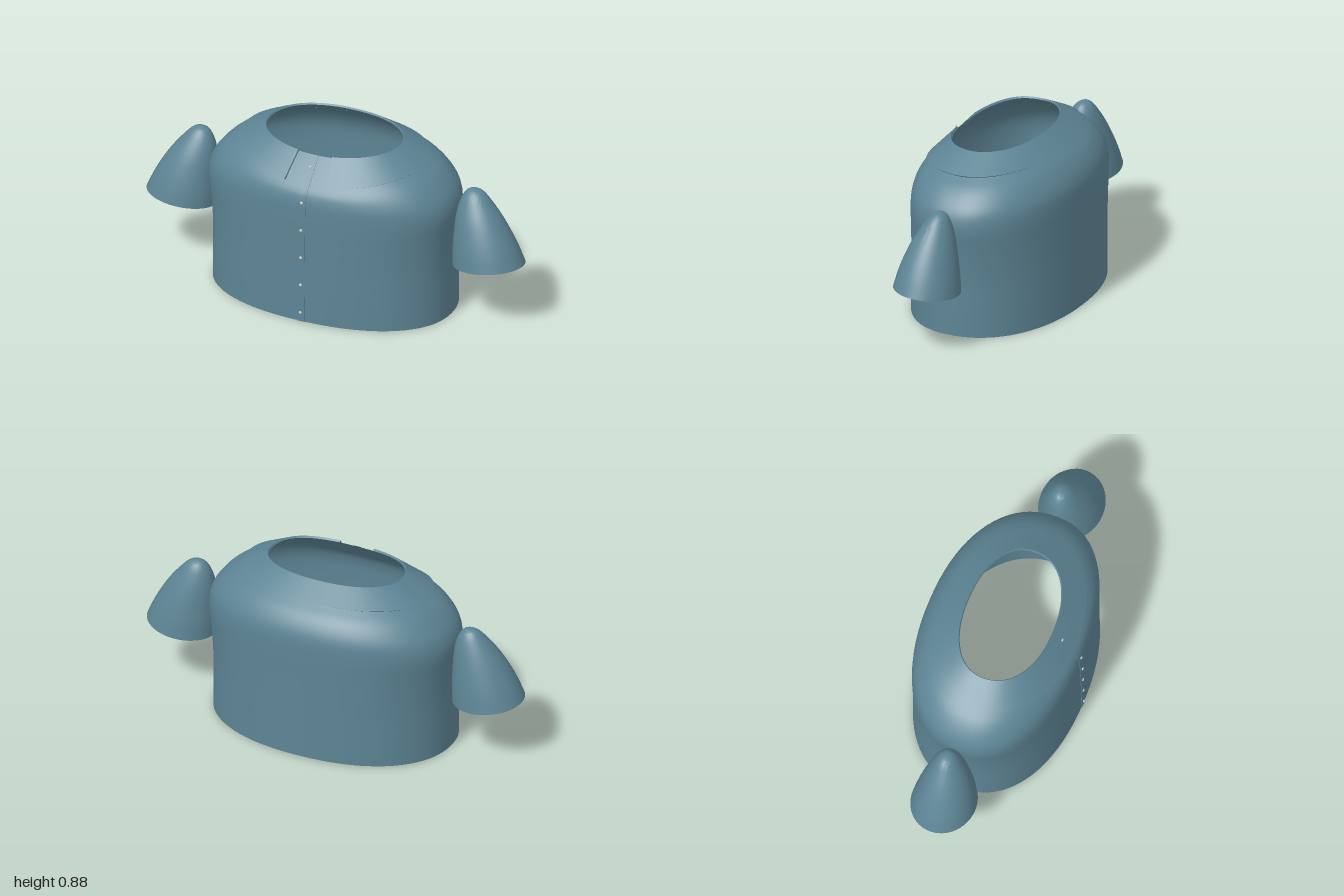
import * as THREE from 'three';
import { toCreasedNormals } from 'three/addons/utils/BufferGeometryUtils.js';

const SQUARE = 2.2; // superellipse exponent of the torso outline
const MID_Z = 0.015;
const cloth = new THREE.MeshStandardMaterial({ color: 0x5d8494, side: THREE.DoubleSide });
const grey = new THREE.MeshStandardMaterial({ color: 0xcccccc });

// Torso rings: [front y, side y, back y, half width, front z, back z]
const BODY = [
  [0, 0, 0, 0.62, 0.397, -0.405],
  [0.15, 0.15, 0.15, 0.62, 0.396, -0.405],
  [0.3, 0.3, 0.3, 0.62, 0.394, -0.405],
  [0.45, 0.45, 0.45, 0.631, 0.391, -0.405],
  [0.57, 0.57, 0.58, 0.643, 0.388, -0.405],
  [0.63, 0.635, 0.65, 0.628, 0.384, -0.4],
  [0.675, 0.69, 0.7, 0.592, 0.372, -0.383],
  [0.7, 0.74, 0.755, 0.54, 0.357, -0.345],
  [0.716, 0.778, 0.8, 0.477, 0.343, -0.289],
  [0.775, 0.818, 0.838, 0.41, 0.29, -0.24],
  [0.83, 0.853, 0.868, 0.345, 0.236, -0.195],
];
const COLLAR_EDGE = [0.72, 0.786, 0.806, 0.487, 0.352, -0.298];
const COLLAR_RIM = [0.839, 0.861, 0.876, 0.35, 0.243, -0.2];

function ringPoint([yF, yS, yB, rx, zF, zB], angle) {
  const bend = (v) => Math.sign(v) * Math.abs(v) ** (2 / SQUARE);
  const c = bend(Math.cos(angle));
  const s = bend(Math.sin(angle));
  return s > 0
    ? new THREE.Vector3(rx * c, yS + (yF - yS) * s ** 3, MID_Z + (zF - MID_Z) * s)
    : new THREE.Vector3(rx * c, yS - (yB - yS) * s, MID_Z + (MID_Z - zB) * s);
}

// Angle on the front half at which a ring reaches the given x
const angleAtX = (ring, x) => Math.acos(Math.sign(x) * (Math.abs(x) / ring[3]) ** (SQUARE / 2));

// Smooth surface through columns of points
function surface(name, columns, crease = 0.9) {
  const rows = columns[0].length;
  const index = [];
  for (let i = 0; i < columns.length - 1; i++) {
    for (let j = 0; j < rows - 1; j++) {
      const a = i * rows + j;
      const b = a + rows;
      index.push(a, a + 1, b, b, a + 1, b + 1);
    }
  }
  const geometry = new THREE.BufferGeometry().setFromPoints(columns.flat());
  geometry.setIndex(index);
  const mesh = new THREE.Mesh(toCreasedNormals(geometry, crease), cloth);
  mesh.name = name;
  return mesh;
}

const spline = (points, n) => new THREE.CatmullRomCurve3(points).getPoints(n);
const steps = (n, f) => Array.from({ length: n + 1 }, (_, i) => f(i / n, i));

// Open torso, hem to neckline
function makeBody() {
  return surface('body', steps(80, (t) =>
    spline(BODY.map((ring) => ringPoint(ring, t * Math.PI * 2)), 36)));
}

// Folded collar with a gap at the front
function makeCollar() {
  const under = BODY[8];
  const neck = BODY[10];
  const section = [[under, 0.11], [COLLAR_EDGE, 0.113], [COLLAR_RIM, 0.09], [neck, 0.09]];
  const closedEnd = [[under, 0.11], [under, 0.11], [neck, 0.09], [neck, 0.09]];
  const column = (rings, t) => rings.map(([ring, gap]) => {
    const start = angleAtX(ring, -gap);
    const end = Math.PI * 2 + angleAtX(ring, gap);
    return ringPoint(ring, start + (end - start) * t);
  });
  return surface('collar', [
    column(closedEnd, 0),
    ...steps(80, (t) => column(section, t)),
    column(closedEnd, 1),
  ], 0.5);
}

// Thin overlapping strip down the front
function makePlacket() {
  const lift = [0, 0.003, 0.003, 0];
  const columns = [0.02, 0.02, -0.02, -0.02].map((x, i) =>
    spline(BODY.map((ring) => {
      const p = ringPoint(ring, angleAtX(ring, x));
      p.z += lift[i];
      return p;
    }), 36));
  return surface('placket', columns, 0.5);
}

// Sleeve rings: [centre y, inner x, outer x, half depth, centre z, tilt in x, tilt in z]
const SLEEVE = [
  [0.323, 0.64, 1.0, 0.16, 0.007, 0.02, 0.011],
  [0.4, 0.638, 0.967, 0.146, 0.005, 0.018, 0.01],
  [0.48, 0.641, 0.925, 0.126, 0.002, 0.016, 0.008],
  [0.56, 0.646, 0.875, 0.1, -0.003, 0.013, 0.006],
  [0.63, 0.66, 0.823, 0.07, -0.009, 0.008, 0.003],
  [0.675, 0.682, 0.785, 0.044, -0.012, 0.004, 0],
  [0.694, 0.703, 0.76, 0.022, -0.014, 0.001, 0],
  [0.7, 0.731, 0.731, 0, -0.015, 0, 0],
];
function makeSleeve(name, side) {
  const columns = steps(48, (t) => {
    const c = Math.cos(t * Math.PI * 2);
    const s = Math.sin(t * Math.PI * 2);
    return spline(SLEEVE.map(([y, xIn, xOut, rz, z, tiltX, tiltZ]) => new THREE.Vector3(
      side * ((xIn + xOut) / 2 + (xOut - xIn) / 2 * c),
      y + tiltX * c + tiltZ * s,
      z + rz * s)), 24);
  });
  return surface(name, side > 0 ? columns : columns.reverse());
}

// Row of small buttons: [y, z]
function makeButtons() {
  const group = new THREE.Group();
  group.name = 'buttons';
  const geometry = new THREE.SphereGeometry(0.008, 16, 10);
  geometry.scale(1, 1, 0.6);
  const spots = [[0.047, 0.402], [0.197, 0.4], [0.345, 0.398], [0.493, 0.396], [0.64, 0.389], [0.79, 0.291]];
  for (const [y, z] of spots) {
    const button = new THREE.Mesh(geometry, grey);
    button.name = 'button';
    button.position.set(0, y, z);
    group.add(button);
  }
  return group;
}

export function createModel() {
  const model = new THREE.Group();
  model.name = 'shirt';
  model.add(
    makeBody(),
    makeCollar(),
    makePlacket(),
    makeSleeve('leftSleeve', 1),
    makeSleeve('rightSleeve', -1),
    makeButtons(),
  );
  return model;
}
